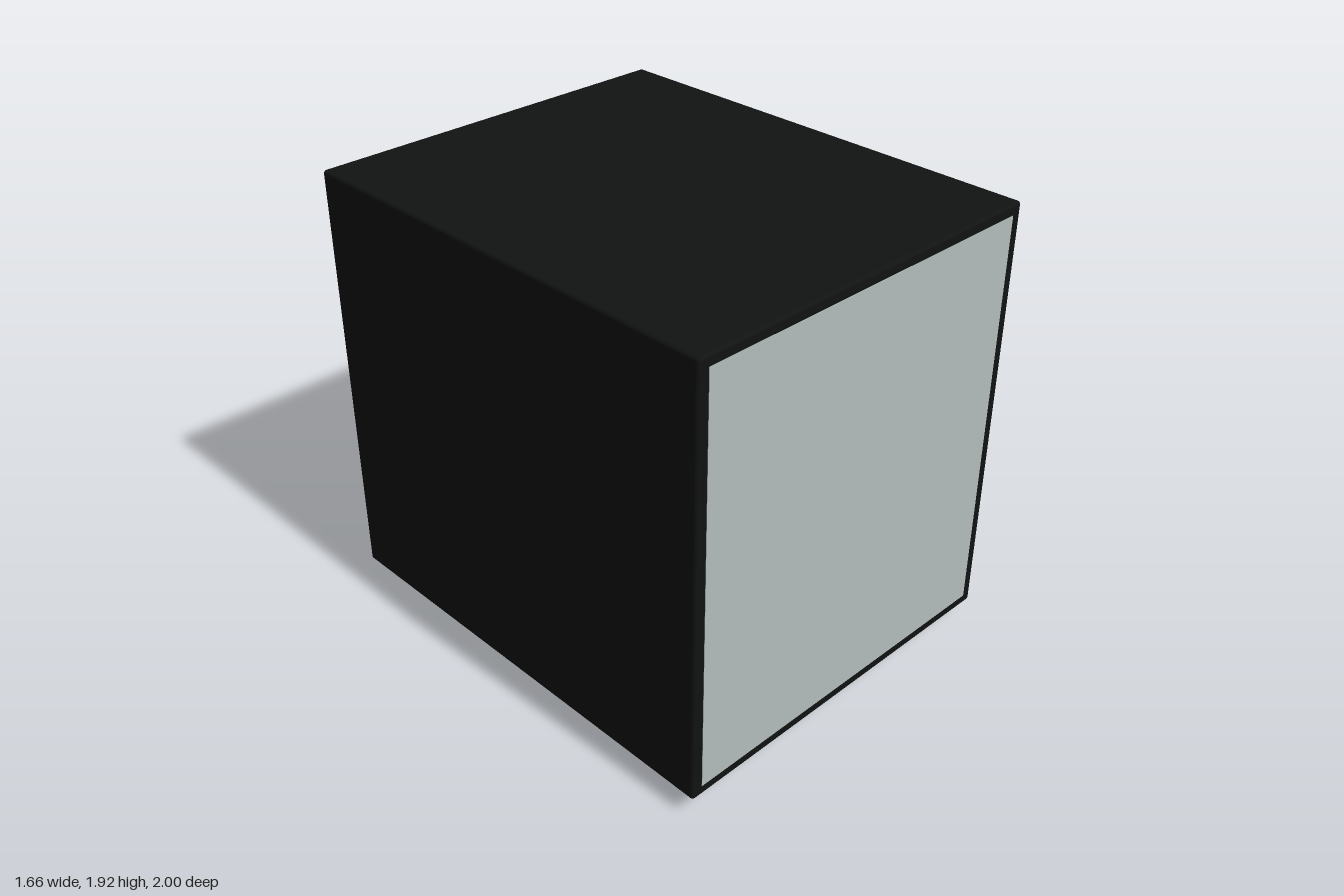
import * as THREE from 'three';
import { RoundedBoxGeometry } from 'three/addons/geometries/RoundedBoxGeometry.js';

const material = (color) => new THREE.MeshStandardMaterial({ color });

export function createModel() {
  const group = new THREE.Group();
  const black = material(0x111212);
  const grey = material(0xb4bcbc);
  const glass = material(0x2c3f50);

  const add = (name, geometry, mat, x, y, z) => {
    const mesh = new THREE.Mesh(geometry, mat);
    mesh.name = name;
    mesh.position.set(x, y, z);
    group.add(mesh);
    return mesh;
  };
  // Box given by its [min, max] range on each axis, optionally rounded
  const box = (name, mat, [x0, x1], [y0, y1], [z0, z1], r = 0) => {
    const size = [x1 - x0, y1 - y0, z1 - z0];
    const geometry = r ? new RoundedBoxGeometry(...size, 3, r) : new THREE.BoxGeometry(...size);
    return add(name, geometry, mat, (x0 + x1) / 2, (y0 + y1) / 2, (z0 + z1) / 2);
  };

  // Cabinet with a pale panel set into the front frame
  box('cabinet', black, [-0.828, 0.828], [0.087, 1.917], [-1, 1], 0.014);
  box('frontPanel', grey, [-0.782, 0.78], [0.132, 1.873], [0.98, 1.002]);

  // Door plate on the underside, with its knob and two hinges
  box('doorPlate', grey, [-0.637, 0.633], [0.072, 0.09], [-0.665, 0.492]);
  add('doorKnob', new THREE.CylinderGeometry(0.037, 0.037, 0.074, 32), black, 0.625, 0.037, -0.083);
  for (const z of [0.3, -0.45]) {
    box('hinge', grey, [-0.69, -0.62], [0.028, 0.073], [z - 0.07, z + 0.07], 0.018);
  }

  // Control unit with display, and a push button beside it
  box('controlUnit', black, [-0.635, -0.238], [0.027, 0.073], [-0.903, -0.733], 0.018);
  box('display', glass, [-0.615, -0.283], [0.019, 0.03], [-0.876, -0.76]);
  add('pushButton', new THREE.CylinderGeometry(0.035, 0.035, 0.044, 32), black, -0.068, 0.029, -0.82);

  return group;
}
